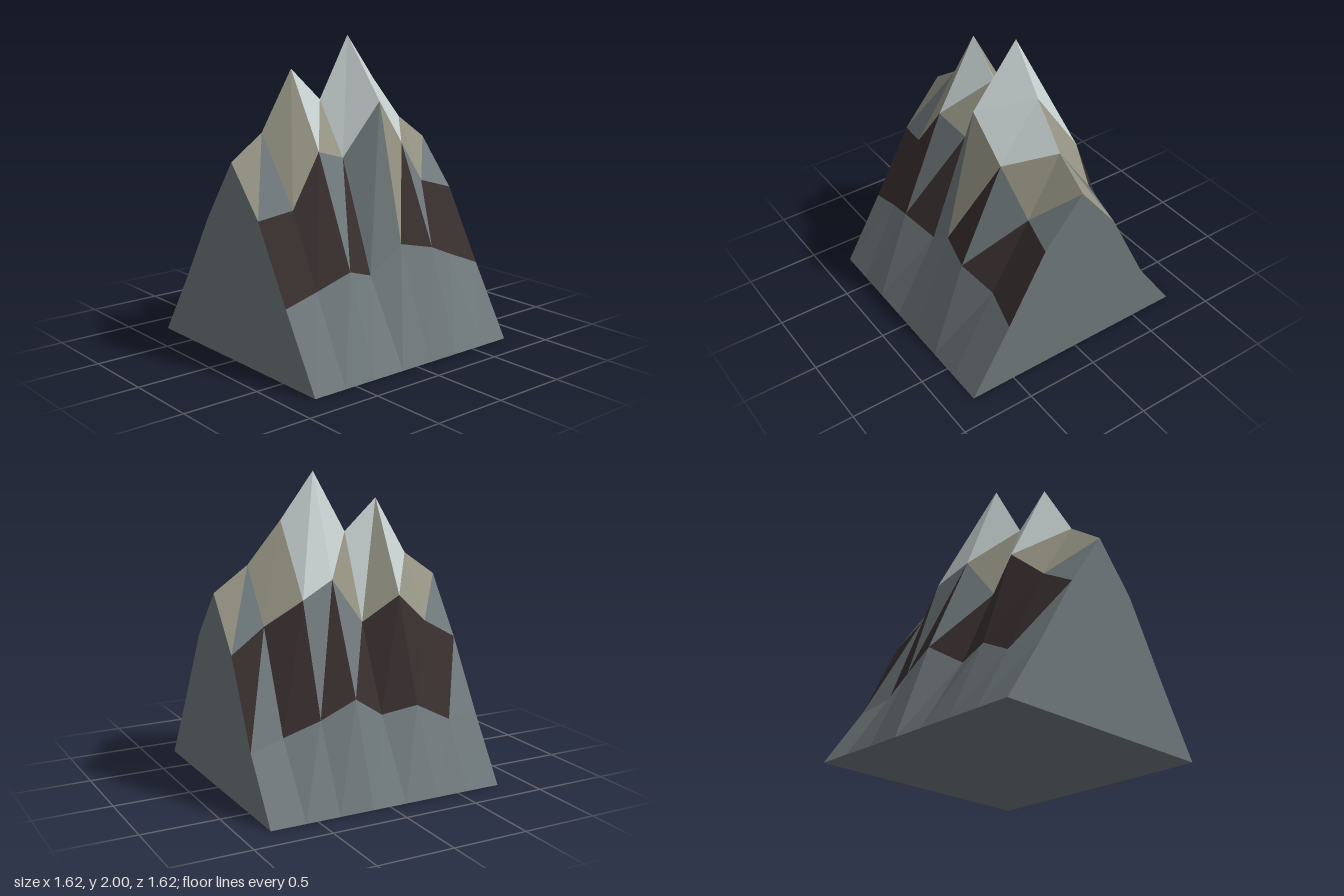
import * as THREE from 'three';

const materials = {
  g: new THREE.MeshStandardMaterial({ name: 'grey rock', color: 0x6f787b }),
  b: new THREE.MeshStandardMaterial({ name: 'dark brown rock', color: 0x382e2e }),
  t: new THREE.MeshStandardMaterial({ name: 'tan rock', color: 0x949383 }),
  w: new THREE.MeshStandardMaterial({ name: 'snow', color: 0xc6d0cf }),
};
const names = { g: 'greySlopes', b: 'brownBand', t: 'tanBand', w: 'snowCaps' };

const HALF = 0.808, COLS = 8;

// Cross-sections from front foot to back foot: z and height for each column.
const rows = [
  { z: Array(COLS).fill(HALF), y: Array(COLS).fill(0) },
  { z: [0.535, 0.535, 0.575, 0.5, 0.53, 0.575, 0.5, 0.535], y: [0.47, 0.53, 0.62, 0.54, 0.71, 0.66, 0.565, 0.47] },
  { z: [0.27, 0.31, 0.275, 0.23, 0.315, 0.275, 0.23, 0.27], y: [0.95, 0.99, 1.32, 1.25, 1.6, 1.31, 1.02, 0.95] },
  { z: Array(COLS).fill(0), y: [1.27, 1.43, 1.81, 1.6, 2, 1.7, 1.43, 1.27] },
  { z: [-0.27, -0.265, -0.315, -0.24, -0.265, -0.315, -0.24, -0.267], y: [0.88, 1.01, 1.21, 1.04, 1.34, 1.235, 1.08, 0.93] },
  { z: [-0.535, -0.575, -0.55, -0.5, -0.575, -0.55, -0.5, -0.535], y: [0.43, 0.415, 0.535, 0.49, 0.64, 0.53, 0.44, 0.39] },
  { z: Array(COLS).fill(-HALF), y: Array(COLS).fill(0) },
];

// Colours of the two triangles in each cell, band by band from front to back.
const bands = [
  'gg gg gg gg gg gg gg',
  'bb bb bg gg bt bg bb',
  'gt tt tw ww ww tw gt',
  'tg wt wt wt ww tt tg',
  'bg bb bb gb gb bb bg',
  'gg gg gg gg gg gg gg',
].map((band) => band.split(' '));

const point = (col, row) => [
  -HALF + (2 * HALF * col) / (COLS - 1), rows[row].y[col], rows[row].z[col],
];

function makeMesh(name, material, triangles) {
  const geometry = new THREE.BufferGeometry();
  geometry.setAttribute('position', new THREE.Float32BufferAttribute(triangles.flat(2), 3));
  geometry.computeVertexNormals();
  const mesh = new THREE.Mesh(geometry, material);
  mesh.name = name;
  return mesh;
}

export function createModel() {
  const model = new THREE.Group();
  model.name = 'mountainRidge';

  // Faceted slopes, sorted by colour
  const faces = { g: [], b: [], t: [], w: [] };
  bands.forEach((band, r) => band.forEach((cell, c) => {
    const [p, q, s, t] = [point(c, r), point(c + 1, r), point(c + 1, r + 1), point(c, r + 1)];
    faces[cell[0]].push([p, q, s]);
    faces[cell[1]].push([p, s, t]);
  }));
  for (const key in faces) model.add(makeMesh(names[key], materials[key], faces[key]));

  // Flat cut ends, fanned from the middle of the base edge
  for (const [name, col] of [['rightEnd', 0], ['leftEnd', COLS - 1]]) {
    const centre = [col ? HALF : -HALF, 0, 0];
    const fan = [];
    for (let r = 0; r < rows.length - 1; r++) {
      const p = point(col, r), q = point(col, r + 1);
      fan.push(col ? [centre, p, q].reverse() : [centre, p, q]);
    }
    model.add(makeMesh(name, materials.g, fan));
  }

  // Underside
  const base = new THREE.Mesh(new THREE.PlaneGeometry(2 * HALF, 2 * HALF).rotateX(Math.PI / 2), materials.g);
  base.name = 'underside';
  model.add(base);

  return model;
}
